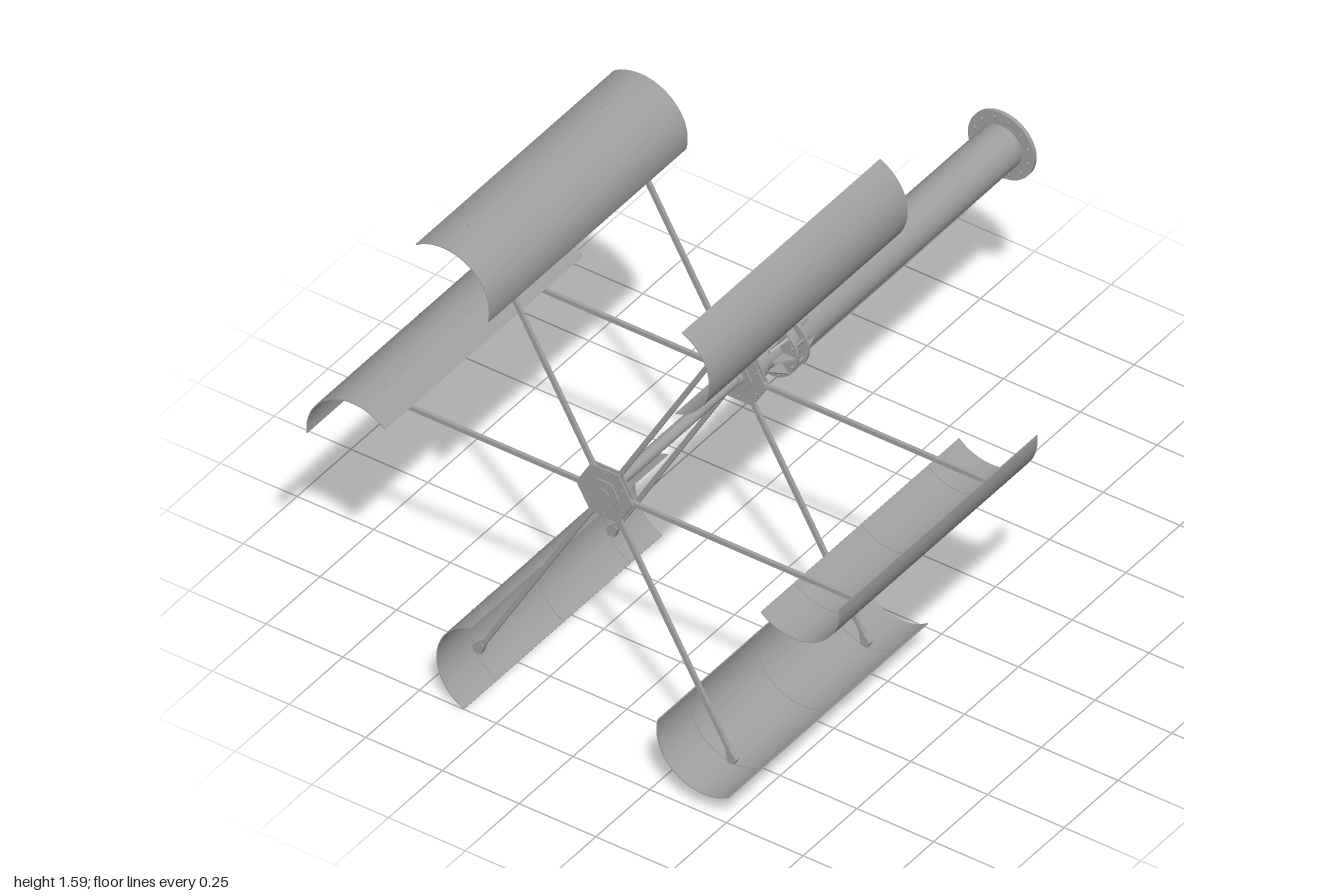
import * as THREE from 'three';
import { mergeGeometries, toCreasedNormals } from 'three/addons/utils/BufferGeometryUtils.js';

const steel = new THREE.MeshStandardMaterial({ color: 0xa0a0a0 });
steel.name = 'steelGrey';

function add(parent, name, geometry) {
  const mesh = new THREE.Mesh(geometry, steel);
  mesh.name = name;
  parent.add(mesh);
  return mesh;
}

// Cylinder along z from z0 (radius r0) to z1 (radius r1)
function rod(r0, r1, z0, z1, sides = 40) {
  const g = new THREE.CylinderGeometry(r1, r0, z1 - z0, sides);
  return g.rotateX(Math.PI / 2).translate(0, 0, (z0 + z1) / 2);
}

// Flat washer or ring along z
function ring(inner, outer, z0, z1) {
  const s = new THREE.Shape().absarc(0, 0, outer, 0, Math.PI * 2, false);
  s.holes.push(new THREE.Path().absarc(0, 0, inner, 0, Math.PI * 2, true));
  const g = new THREE.ExtrudeGeometry(s, { depth: z1 - z0, bevelEnabled: false, curveSegments: 40 });
  return toCreasedNormals(g.translate(0, 0, z0), 0.5);
}

// Curved sheet: an arc-shaped strip extruded along z
function arcSheet(inner, outer, a0, a1, z0, z1) {
  const s = new THREE.Shape();
  s.absarc(0, 0, outer, a0, a1, false);
  s.absarc(0, 0, inner, a1, a0, true);
  s.closePath();
  const g = new THREE.ExtrudeGeometry(s, { depth: z1 - z0, bevelEnabled: false, curveSegments: 32 });
  return toCreasedNormals(g.translate(0, 0, z0), 0.5);
}

// Outline given in (radius, z), turned into thin plates round the axis
function gussets(points, count, thickness) {
  const s = new THREE.Shape(points.map(([r, z]) => new THREE.Vector2(r, z)));
  const parts = [];
  for (let i = 0; i < count; i++) {
    const g = new THREE.ExtrudeGeometry(s, { depth: thickness, bevelEnabled: false });
    g.translate(0, 0, -thickness / 2).rotateX(Math.PI / 2).rotateZ((i / count) * Math.PI * 2);
    parts.push(g);
  }
  return mergeGeometries(parts);
}

// Bolt heads on a circle
function bolts(radius, count, size, z0, z1) {
  const parts = [];
  for (let i = 0; i < count; i++) {
    const a = ((i + 0.5) / count) * Math.PI * 2;
    parts.push(rod(size, size, z0, z1, 6).translate(radius * Math.cos(a), radius * Math.sin(a), 0));
  }
  return mergeGeometries(parts);
}

const ARM_Z = [0.225, 0.845];
const BLADE = { x: 0.717, y: 0.075, r: 0.152, a0: THREE.MathUtils.degToRad(226), a1: THREE.MathUtils.degToRad(366) };

// One blade with its two arms, pointing along +x
function makeSpoke() {
  const spoke = new THREE.Group();
  const { x, y, r, a0, a1 } = BLADE;
  add(spoke, 'blade', arcSheet(r - 0.003, r, a0, a1, 0.08, 1).translate(x, y, 0));

  // Narrow inner seams and outer rivets
  const details = [];
  for (const z of [0.225, 0.535, 0.845]) {
    details.push(arcSheet(r - 0.005, r - 0.003, a0 + 0.03, a1 - 0.03, z - 0.003, z + 0.003).translate(x, y, 0));
  }
  add(spoke, 'bladeSeams', mergeGeometries(details));
  const rivets = [];
  for (const z of [0.19, 0.26, 0.5, 0.57, 0.81, 0.88]) {
    for (const t of [0.25, 0.75]) {
      const a = a0 + (a1 - a0) * t;
      const g = new THREE.CylinderGeometry(0.003, 0.003, 0.004, 6);
      rivets.push(g.rotateZ(a - Math.PI / 2).translate(x + r * Math.cos(a), y + r * Math.sin(a), z));
    }
  }
  add(spoke, 'bladeRivets', mergeGeometries(rivets));

  // Arms with a bent lug meeting the blade
  const lug = new THREE.Shape([
    [0.8, -0.008], [0.835, -0.02], [0.845, -0.004], [0.833, 0.014], [0.8, 0.008],
  ].map(([px, py]) => new THREE.Vector2(px, py)));
  for (const z of ARM_Z) {
    add(spoke, 'arm', new THREE.BoxGeometry(0.77, 0.014, 0.011).translate(0.425, 0, z));
    const g = new THREE.ExtrudeGeometry(lug, { depth: 0.016, bevelEnabled: false });
    add(spoke, 'armLug', g.translate(0, 0, z - 0.008));
  }
  return spoke;
}

export function createModel() {
  const model = new THREE.Group();
  model.name = 'windTurbine';
  const body = new THREE.Group();
  body.name = 'turbineBody';
  body.position.y = 0.8;
  model.add(body);

  // Six blades round the axis
  for (let i = 0; i < 6; i++) {
    const spoke = makeSpoke();
    spoke.name = 'bladeAssembly';
    spoke.rotation.z = (i * Math.PI) / 3;
    body.add(spoke);
  }

  // Hexagonal hubs: two plates clamping the arms, with a raised centre
  for (const z of ARM_Z) {
    const hub = new THREE.Group();
    hub.name = 'hub';
    hub.position.z = z;
    body.add(hub);
    for (const s of [-1, 1]) {
      const plate = toCreasedNormals(rod(0.092, 0.092, -0.002, 0.002, 6), 0.5);
      add(hub, 'hubPlate', plate.rotateZ(Math.PI / 2).translate(0, 0, s * 0.0075));
    }
    const boss = toCreasedNormals(rod(0.05, 0.05, -0.014, 0.014, 6), 0.5);
    add(hub, 'hubBoss', boss.rotateZ(Math.PI / 2));
    add(hub, 'hubBolts', bolts(0.068, 6, 0.005, -0.013, 0.013));
  }

  // Shaft between the hubs, with end collars
  add(body, 'shaft', rod(0.018, 0.018, 0.13, 0.862));
  add(body, 'frontCollar', rod(0.023, 0.023, 0.81, 0.855));
  add(body, 'rearCollar', rod(0.023, 0.023, 0.2, 0.255));

  // Bearing housing on top of the tower
  add(body, 'bearingNeck', rod(0.045, 0.04, 0.09, 0.17));
  add(body, 'bearingCap', rod(0.05, 0.05, 0.165, 0.212));
  add(body, 'upperRing', ring(0.03, 0.09, 0.075, 0.086));
  add(body, 'lowerRing', ring(0.06, 0.09, 0.026, 0.037));
  add(body, 'upperGussets', gussets([[0.038, 0.086], [0.086, 0.086], [0.05, 0.135], [0.038, 0.135]], 8, 0.007));
  add(body, 'lowerGussets', gussets([[0.064, -0.025], [0.07, -0.025], [0.086, 0.026], [0.064, 0.026]], 8, 0.007));
  add(body, 'ringBolts', bolts(0.08, 8, 0.006, 0.016, 0.096));

  // Tower tube and its base flange
  add(body, 'towerTube', rod(0.068, 0.068, -0.99, 0.075, 48));
  add(body, 'baseFlange', rod(0.108, 0.108, -1, -0.988, 48));
  add(body, 'baseBolts', bolts(0.09, 12, 0.007, -1, -0.983));

  return model;
}
